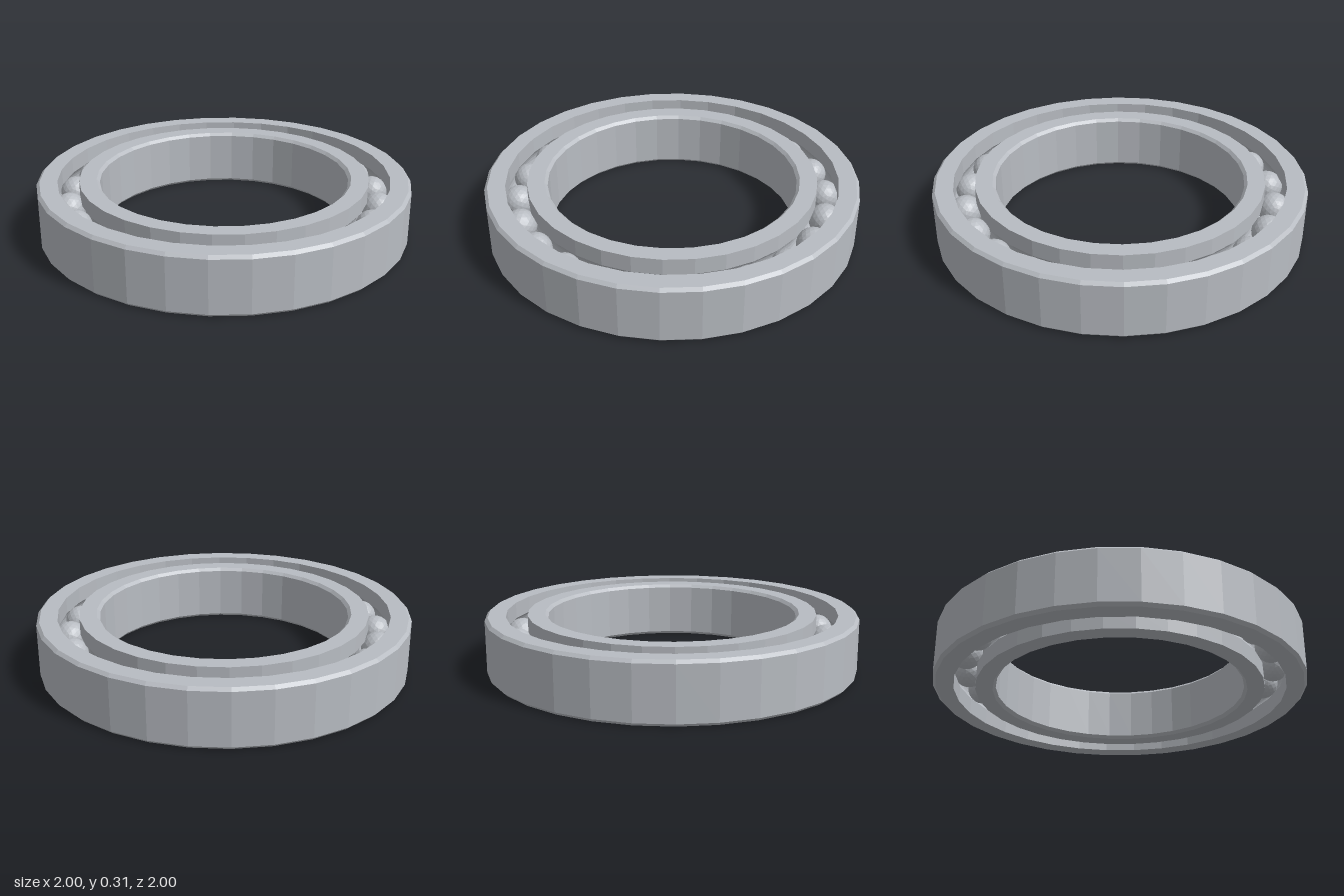
import * as THREE from 'three';

const HEIGHT = 0.31, MID = HEIGHT / 2, CHAMFER = 0.016;
const PITCH = 0.833, BALL_RADIUS = 0.086, GROOVE_RADIUS = 0.088;
const BALLS = 22, SIDES = 32;

// Arc of the ball groove from angle a to b, centred on the ball circle
function groove(a, b, steps = 8) {
  return Array.from({ length: steps + 1 }, (_, i) => {
    const t = a + (b - a) * i / steps;
    return [PITCH + GROOVE_RADIUS * Math.cos(t), MID + GROOVE_RADIUS * Math.sin(t)];
  });
}

export function createModel() {
  const model = new THREE.Group();
  model.name = 'ballBearing';
  const steel = new THREE.MeshStandardMaterial({ color: 0xb8bcc2, flatShading: true });
  steel.name = 'steel';

  // Closed cross-section, counterclockwise, turned around the y axis
  const addRing = (name, profile) => {
    const points = [...profile, profile[0]].map(([r, y]) => new THREE.Vector2(r, y));
    const ring = new THREE.Mesh(new THREE.LatheGeometry(points, SIDES), steel);
    ring.name = name;
    model.add(ring);
  };

  // Outer race: chamfered outside, groove on its inner wall
  const outerWall = 0.89;
  const outerAngle = Math.acos((outerWall - PITCH) / GROOVE_RADIUS);
  addRing('outerRace', [
    [outerWall, 0], [1 - CHAMFER, 0], [1, CHAMFER],
    [1, HEIGHT - CHAMFER], [1 - CHAMFER, HEIGHT], [outerWall, HEIGHT],
    ...groove(outerAngle, -outerAngle),
  ]);

  // Inner race: chamfered bore, groove on its outer wall
  const innerWall = 0.776, bore = 0.668;
  const innerAngle = Math.acos((PITCH - innerWall) / GROOVE_RADIUS);
  addRing('innerRace', [
    [bore + CHAMFER, 0], [innerWall, 0],
    ...groove(Math.PI + innerAngle, Math.PI - innerAngle),
    [innerWall, HEIGHT], [bore + CHAMFER, HEIGHT],
    [bore, HEIGHT - CHAMFER], [bore, CHAMFER],
  ]);

  // Balls spaced evenly between the races
  const balls = new THREE.Group();
  balls.name = 'balls';
  const ballGeometry = new THREE.IcosahedronGeometry(BALL_RADIUS, 3);
  for (let i = 0; i < BALLS; i++) {
    const angle = i / BALLS * Math.PI * 2;
    const ball = new THREE.Mesh(ballGeometry, steel);
    ball.name = 'ball';
    ball.position.set(PITCH * Math.cos(angle), MID, PITCH * Math.sin(angle));
    ball.rotation.y = -angle;
    balls.add(ball);
  }
  model.add(balls);
  return model;
}
